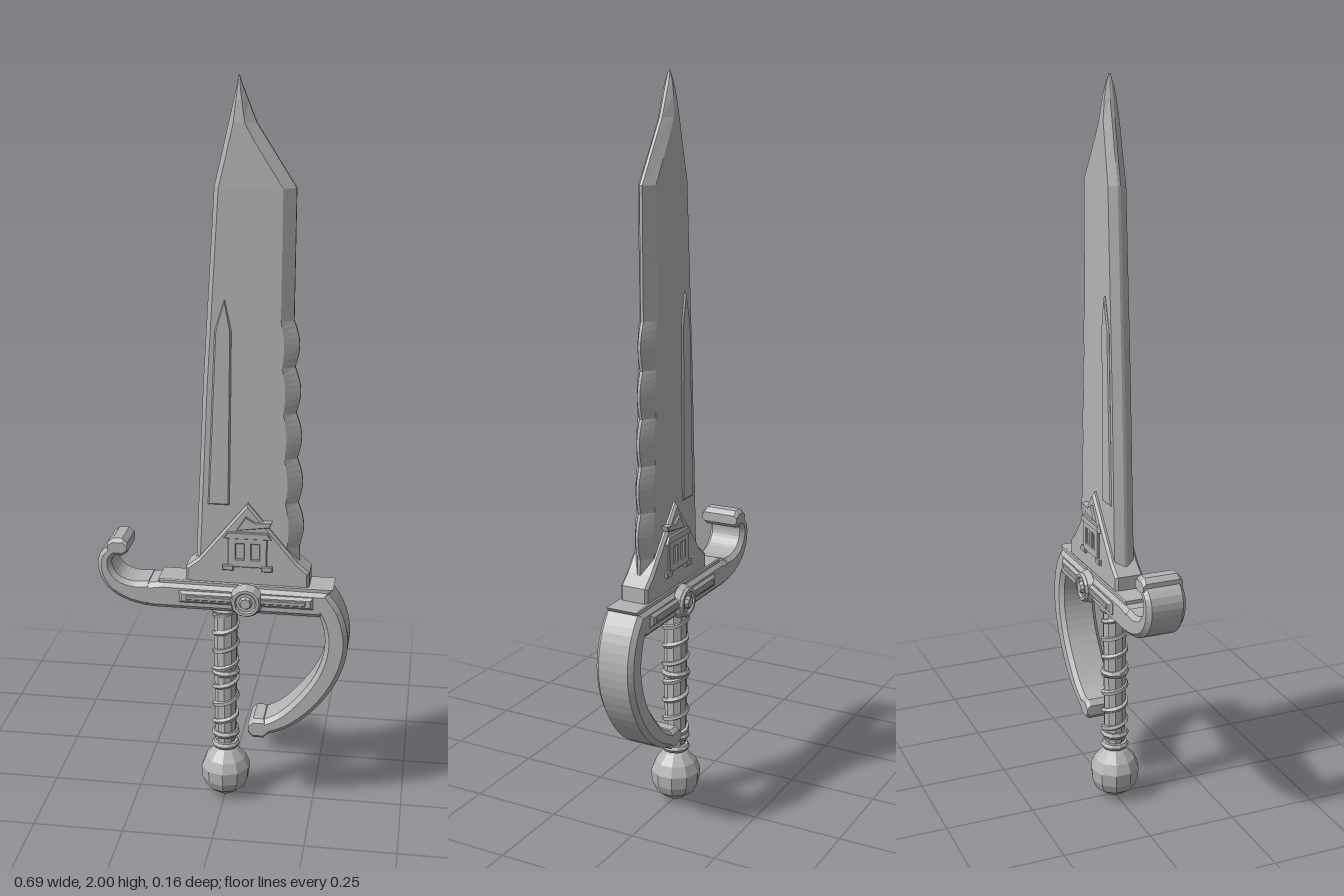
import * as THREE from 'three';

const steel = new THREE.MeshStandardMaterial({ color: 0xb4b4b4, flatShading: true });
steel.name = 'steel grey';

// Closed skin through equal-length rings of [x, y, z], capped at both ends
function loft(rings) {
  const n = rings[0].length, tri = [];
  for (let i = 0; i < rings.length - 1; i++) {
    for (let j = 0; j < n; j++) {
      const k = (j + 1) % n;
      const a = rings[i][j], b = rings[i][k], c = rings[i + 1][k], d = rings[i + 1][j];
      tri.push([a, b, c], [a, c, d]);
    }
  }
  const first = rings[0], last = rings[rings.length - 1];
  for (let j = 1; j < n - 1; j++) {
    tri.push([first[0], first[j + 1], first[j]], [last[0], last[j], last[j + 1]]);
  }
  // Turn the skin outward if its signed volume is negative
  let volume = 0;
  for (const [a, b, c] of tri) {
    volume += new THREE.Vector3(...a).dot(new THREE.Vector3(...b).cross(new THREE.Vector3(...c)));
  }
  if (volume < 0) tri.forEach((t) => t.reverse());
  const geo = new THREE.BufferGeometry();
  geo.setAttribute('position', new THREE.Float32BufferAttribute(tri.flat(2), 3));
  geo.computeVertexNormals();
  return geo;
}

// Chamfered strap following [x, y, halfThickness] points in the XY plane
function strap(points, halfDepth, chamfer) {
  const rings = points.map(([x, y, w], i) => {
    const p = points[Math.max(i - 1, 0)], q = points[Math.min(i + 1, points.length - 1)];
    const len = Math.hypot(q[0] - p[0], q[1] - p[1]);
    const nx = -(q[1] - p[1]) / len, ny = (q[0] - p[0]) / len;
    const c = Math.min(chamfer, w * 0.6), d = halfDepth;
    return [[w, d - c], [w - c, d], [c - w, d], [-w, d - c], [-w, c - d], [c - w, -d], [w - c, -d], [w, c - d]]
      .map(([a, z]) => [x + nx * a, y + ny * a, z]);
  });
  return loft(rings);
}

// Smooth resampling of strap points
function smooth(points, count) {
  const curve = new THREE.CatmullRomCurve3(points.map((p) => new THREE.Vector3(...p)));
  return curve.getPoints(count).map((v) => [v.x, v.y, v.z]);
}

// Plate with bevelled rims, centred on z = 0
function plate(points, halfDepth, bevel, holes = []) {
  const shape = new THREE.Shape(points.map((p) => new THREE.Vector2(...p)));
  for (const h of holes) shape.holes.push(new THREE.Path(h.map((p) => new THREE.Vector2(...p))));
  const depth = 2 * (halfDepth - bevel);
  return new THREE.ExtrudeGeometry(shape, {
    depth, bevelEnabled: bevel > 0, bevelThickness: bevel, bevelSize: bevel, bevelOffset: -bevel, bevelSegments: 1,
  }).translate(0, 0, -depth / 2);
}

const rect = (x0, y0, x1, y1) => [[x0, y0], [x1, y0], [x1, y1], [x0, y1]];

// Linear interpolation in a table of [key, value]
function lookup(table, t) {
  for (let i = 1; i < table.length; i++) {
    const [a, va] = table[i - 1], [b, vb] = table[i];
    if (t <= b) return va + (vb - va) * (t - a) / (b - a);
  }
  return table[table.length - 1][1];
}

function bladeGeometry() {
  const left = [[0.68, -0.082], [1.21, -0.06], [1.727, -0.03], [1.79, -0.015], [1.995, 0.032]];
  const right = [[0.68, 0.205], [0.85, 0.198], [1.39, 0.178], [1.727, 0.18], [1.886, 0.078], [1.995, 0.034]];
  const thick = [[0.68, 0.028], [1.727, 0.025], [1.9, 0.022], [1.96, 0.014], [2, 0.002]];
  const levels = [0.68];
  for (let i = 0; i <= 40; i++) levels.push(0.77 + i * 0.0155);
  levels.push(1.56, 1.727, 1.79, 1.84, 1.886, 1.94, 1.97, 2);
  return loft(levels.map((y) => {
    // Scalloped stretch of the cutting edge
    const wavy = y > 0.77 && y < 1.39;
    const wave = wavy ? 0.013 * Math.abs(Math.sin((y - 0.77) / 0.124 * Math.PI)) : 0;
    const l = lookup(left, y), r = lookup(right, y) + wave, w = r - l;
    const t = lookup(thick, y), e = Math.min(0.004, t);
    const il = l + Math.min(0.014, w * 0.2), ir = r - wave * 0.5 - Math.min(0.032, w * 0.4);
    return [[l, y, e], [il, y, t], [ir, y, t], [r, y, e], [r, y, -e], [ir, y, -t], [il, y, -t], [l, y, -e]];
  }));
}

export function createModel() {
  const model = new THREE.Group();
  const add = (name, geo, parent = model) => {
    const mesh = new THREE.Mesh(geo, steel);
    mesh.name = name;
    parent.add(mesh);
    return mesh;
  };

  // Blade with raised inlay on both faces
  add('blade', bladeGeometry());
  add('bladeInlay', plate([[-0.045, 0.885], [0.014, 0.885], [0.018, 1.36], [0, 1.445], [-0.026, 1.36]], 0.031, 0.004));

  // Peaked mount at the root of the blade
  add('bladeMount', plate([[-0.105, 0.65], [0.232, 0.65], [0.232, 0.705], [0.2, 0.732],
    [0.064, 0.895], [-0.07, 0.732], [-0.105, 0.705]], 0.04, 0.007));

  // Gate-shaped ornament, reaching through to both faces
  const ornament = new THREE.Group();
  ornament.name = 'mountOrnament';
  model.add(ornament);
  add('ornamentPanel', plate(rect(0.012, 0.715, 0.118, 0.805), 0.046, 0.002,
    [rect(0.033, 0.738, 0.055, 0.782), rect(0.075, 0.738, 0.097, 0.782)]), ornament);
  add('ornamentLintel', plate([[0, 0.797], [0.13, 0.797], [0.118, 0.815], [0.012, 0.815]], 0.048, 0.002), ornament);
  add('ornamentCrest', plate([[0.035, 0.82], [0.125, 0.832], [0.13, 0.846], [0.085, 0.844], [0.06, 0.86]], 0.047, 0.002), ornament);
  for (const x of [0.012, 0.118]) {
    add('ornamentFoot', plate(rect(x - 0.015, 0.705, x + 0.015, 0.72), 0.048, 0.002), ornament);
  }

  // Crossguard body, ledge and side bars
  add('crossguard', plate([[-0.25, 0.598], [-0.2, 0.585], [0.27, 0.582], [0.285, 0.62],
    [0.285, 0.655], [-0.17, 0.66], [-0.25, 0.648]], 0.055, 0.012));
  add('guardLedge', plate([[-0.18, 0.645], [0.28, 0.645], [0.298, 0.664], [-0.18, 0.668]], 0.045, 0.003));
  add('guardBar', plate(rect(-0.12, 0.608, 0.245, 0.642), 0.064, 0.007));
  add('guardGroove', plate(rect(-0.1, 0.619, 0.225, 0.631), 0.067, 0.002));

  // Round boss on each face
  for (const s of [1, -1]) {
    const boss = new THREE.Group();
    boss.name = s > 0 ? 'frontBoss' : 'backBoss';
    boss.position.set(0.064, 0.622, 0);
    boss.rotation.y = s > 0 ? 0 : Math.PI;
    model.add(boss);
    add('bossDisc', new THREE.CylinderGeometry(0.04, 0.048, 0.02, 12).rotateX(Math.PI / 2).translate(0, 0, 0.06), boss);
    add('bossRing', new THREE.TorusGeometry(0.034, 0.008, 6, 12).translate(0, 0, 0.069), boss);
    add('bossStud', new THREE.CylinderGeometry(0.014, 0.02, 0.012, 8).rotateX(Math.PI / 2).translate(0, 0, 0.074), boss);
  }

  // Upturned hook and its rolled end
  add('hook', strap(smooth([[-0.21, 0.622, 0.036], [-0.255, 0.627, 0.03], [-0.3, 0.648, 0.025],
    [-0.325, 0.685, 0.021], [-0.325, 0.725, 0.018], [-0.295, 0.755, 0.014]], 16), 0.055, 0.012));
  add('hookEnd', strap([[-0.318, 0.755, 0.013], [-0.304, 0.755, 0.025], [-0.278, 0.755, 0.025], [-0.264, 0.755, 0.013]], 0.055, 0.01));

  // Curved knuckle guard and its rolled end
  add('knuckleGuard', strap(smooth([[0.262, 0.635, 0.03], [0.292, 0.59, 0.03], [0.309, 0.525, 0.031],
    [0.304, 0.46, 0.031], [0.275, 0.385, 0.03], [0.22, 0.31, 0.029], [0.165, 0.262, 0.025], [0.11, 0.235, 0.022]], 22), 0.055, 0.012));
  add('knuckleEnd', strap([[0.07, 0.235, 0.015], [0.084, 0.235, 0.029], [0.112, 0.235, 0.029], [0.126, 0.235, 0.015]], 0.055, 0.01));

  // Grip core, spiral wrap and collars
  add('grip', new THREE.CylinderGeometry(0.034, 0.03, 0.42, 10).translate(0, 0.385, 0));
  const spiral = [];
  for (let i = 0; i <= 72; i++) {
    const a = i / 72 * Math.PI * 2 * 7;
    spiral.push(new THREE.Vector3(Math.cos(a) * 0.031, 0.2 + i / 72 * 0.38, -Math.sin(a) * 0.031));
  }
  add('gripWrap', new THREE.TubeGeometry(new THREE.CatmullRomCurve3(spiral), 110, 0.008, 5));
  for (const [y, r] of [[0.575, 0.036], [0.385, 0.034], [0.195, 0.033], [0.16, 0.033]]) {
    add('gripCollar', new THREE.TorusGeometry(r - 0.003, 0.01, 6, 10).rotateX(Math.PI / 2).translate(0, y, 0));
  }

  // Faceted pommel with its neck
  const profile = [[0, 0], [0.024, 0.006], [0.056, 0.03], [0.067, 0.055], [0.07, 0.09], [0.058, 0.118],
    [0.036, 0.142], [0.026, 0.15], [0.028, 0.2], [0, 0.2]];
  add('pommel', new THREE.LatheGeometry(profile.map((p) => new THREE.Vector2(...p)), 10));

  return model;
}
